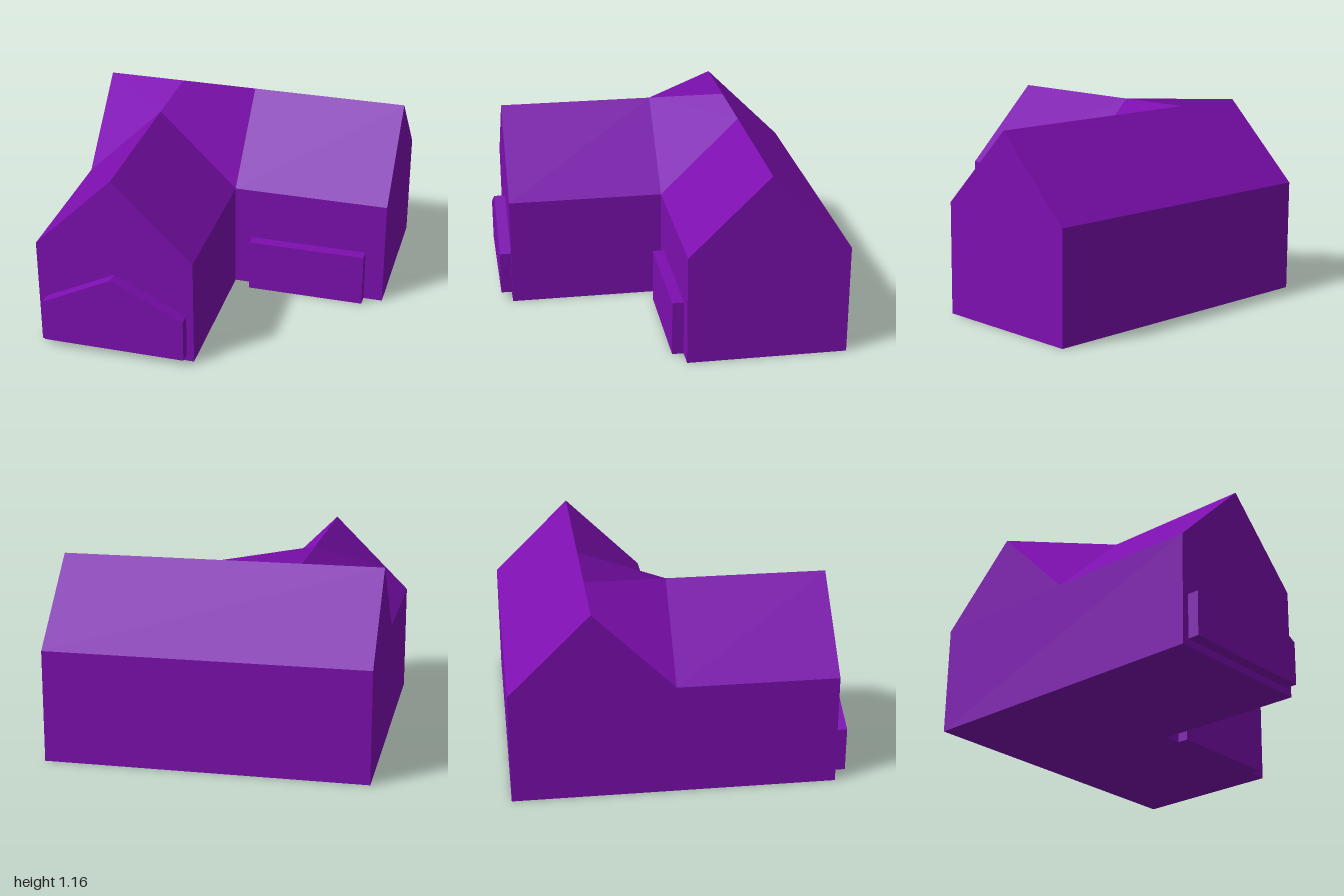
import * as THREE from 'three';

const purple = new THREE.MeshStandardMaterial({ color: 0x7d0fb0 });
purple.name = 'purple';

// Key lines of the plan and section
const W = 0.97;                                 // half width of the main hall
const EAVE = 0.68, RIDGE = 1.16;
const BACK = -1, FRONT = -0.03, HALL_RIDGE = -0.515;
const WING_FRONT = 0.93, WING_RIDGE = -W / 2;   // wing spans x = -W to 0

// Mesh from flat-shaded polygons (corners anticlockwise from outside, split as fans)
function panels(name, polygons, normals = []) {
  const pos = [], nor = [];
  polygons.forEach((poly, k) => {
    const v = poly.map((p) => new THREE.Vector3(...p));
    for (let i = 1; i < v.length - 1; i++) {
      const n = normals[k]
        ? new THREE.Vector3(...normals[k])
        : v[i].clone().sub(v[0]).cross(v[i + 1].clone().sub(v[0]));
      n.normalize();
      for (const c of [v[0], v[i], v[i + 1]]) {
        pos.push(c.x, c.y, c.z);
        nor.push(n.x, n.y, n.z);
      }
    }
  });
  const geo = new THREE.BufferGeometry();
  geo.setAttribute('position', new THREE.Float32BufferAttribute(pos, 3));
  geo.setAttribute('normal', new THREE.Float32BufferAttribute(nor, 3));
  const mesh = new THREE.Mesh(geo, purple);
  mesh.name = name;
  return mesh;
}

export function createModel() {
  const house = new THREE.Group();
  house.name = 'house';

  // Walls follow the L-shaped footprint
  const plan = [[-W, WING_FRONT], [0, WING_FRONT], [0, FRONT], [W, FRONT], [W, BACK], [-W, BACK]];
  house.add(panels('walls', plan.map(([x, z], i) => {
    const [x2, z2] = plan[(i + 1) % plan.length];
    return [[x, 0, z], [x2, 0, z2], [x2, EAVE, z2], [x, EAVE, z]];
  })));

  // Floor: hall and wing
  const floorPart = (x1, z1, x2, z2) => [[x1, 0, z1], [x2, 0, z1], [x2, 0, z2], [x1, 0, z2]];
  house.add(panels('floor', [
    floorPart(-W, BACK, W, FRONT),
    floorPart(-W, FRONT, 0, WING_FRONT),
  ]));

  // Gable triangles above the eaves
  house.add(panels('gables', [
    [[-W, EAVE, WING_FRONT], [0, EAVE, WING_FRONT], [WING_RIDGE, RIDGE, WING_FRONT]],
    [[W, EAVE, FRONT], [W, EAVE, BACK], [W, RIDGE, HALL_RIDGE]],
    [[-W, EAVE, BACK], [-W, EAVE, FRONT], [-W, RIDGE, HALL_RIDGE]],
  ]));

  // Hall roof: full back slope, front slope beside the wing
  house.add(panels('hallRoof', [
    [[W, EAVE, BACK], [-W, EAVE, BACK], [-W, RIDGE, HALL_RIDGE], [W, RIDGE, HALL_RIDGE]],
    [[0, EAVE, FRONT], [W, EAVE, FRONT], [W, RIDGE, HALL_RIDGE], [0, RIDGE, HALL_RIDGE]],
  ]));

  // Wing roof
  const ridgeEnd = [WING_RIDGE, RIDGE, FRONT], ridgeTip = [WING_RIDGE, RIDGE, WING_FRONT];
  house.add(panels('wingRoof', [
    [[0, EAVE, WING_FRONT], [0, EAVE, FRONT], ridgeEnd, ridgeTip],
    [[-W, EAVE, FRONT], [-W, EAVE, WING_FRONT], ridgeTip, ridgeEnd],
  ]));

  // Folded panels joining the two roofs, each shaded as one face
  const crossing = [WING_RIDGE, RIDGE, HALL_RIDGE];
  house.add(panels('roofJunction', [
    [ridgeEnd, [0, EAVE, FRONT], [0, RIDGE, HALL_RIDGE], crossing],
    [ridgeEnd, crossing, [-W, RIDGE, HALL_RIDGE], [-W, EAVE, FRONT]],
  ], [[1, 2, 1], [-1, 2, 1]]));

  // Raised pointed panel on the wing front
  const outline = new THREE.Shape([
    [-0.44, 0.045], [0.44, 0.045], [0.44, 0.315], [0, 0.535], [-0.44, 0.315],
  ].map(([x, y]) => new THREE.Vector2(x, y)));
  const bay = new THREE.Mesh(
    new THREE.ExtrudeGeometry(outline, { depth: 1 - WING_FRONT, bevelEnabled: false }), purple);
  bay.name = 'wingFrontPanel';
  bay.position.set(WING_RIDGE, 0, WING_FRONT);
  house.add(bay);

  // Low block against the hall front
  const block = new THREE.Mesh(new THREE.BoxGeometry(0.74, 0.34, 0.07), purple);
  block.name = 'hallFrontBlock';
  block.position.set(0.48, 0.17, FRONT + 0.035);
  house.add(block);

  return house;
}
